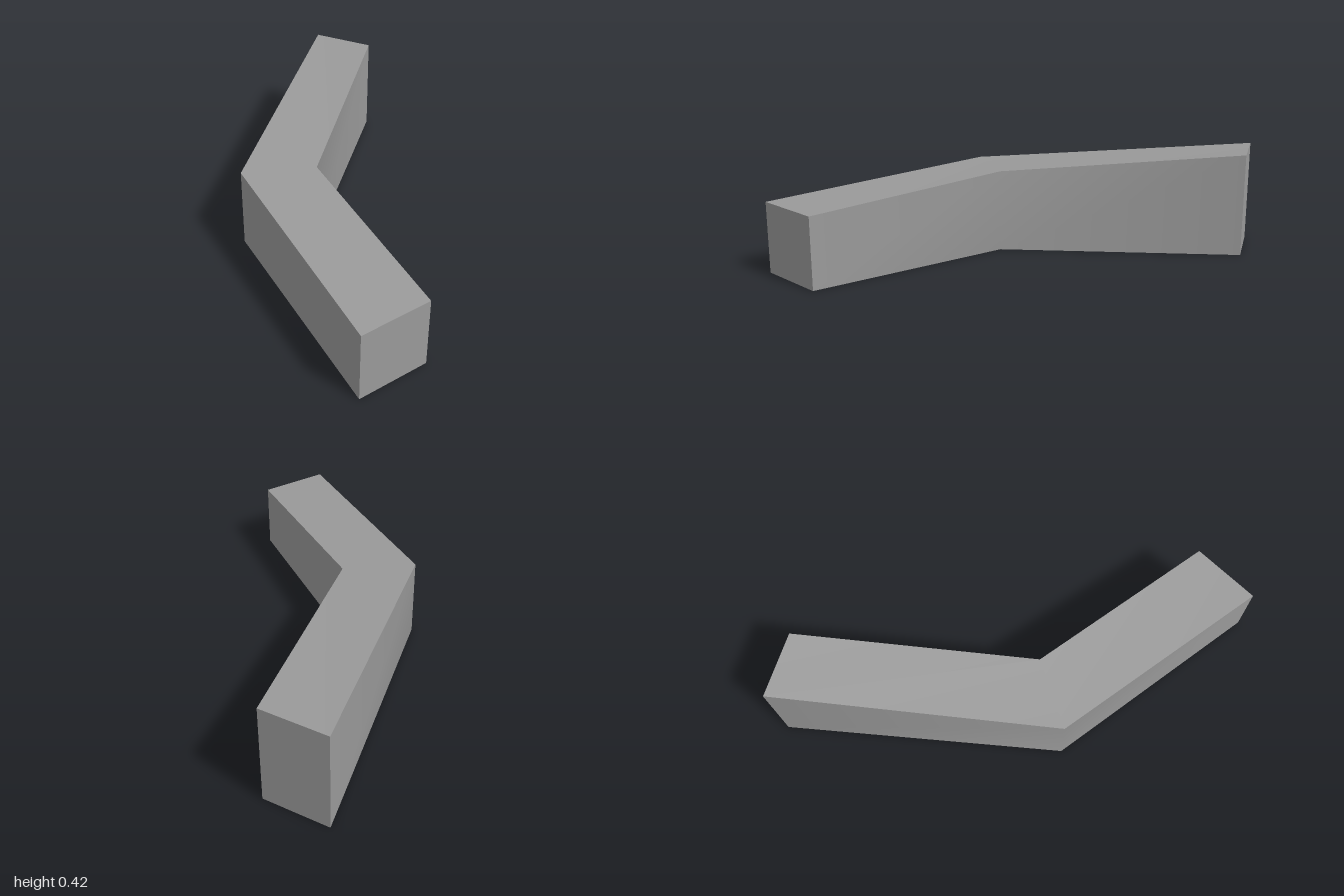
import * as THREE from 'three';
import { toCreasedNormals } from 'three/addons/utils/BufferGeometryUtils.js';

// Cross-sections from front to back: inner and outer plan corners, and height
const sections = [
  { right: [-0.03, 1.0], left: [0.232, 0.866], height: 0.283 },
  { right: [-0.341, 0.066], left: [-0.039, 0.066], height: 0.334 },
  { right: [0.119, -1.0], left: [0.341, -0.845], height: 0.417 },
];

// Closed bar lofted through four-cornered sections
function loftBar(list) {
  const positions = [];
  for (const { right: [rx, rz], left: [lx, lz], height } of list) {
    positions.push(rx, 0, rz, lx, 0, lz, lx, height, lz, rx, height, rz);
  }
  const index = [0, 1, 2, 0, 2, 3]; // front end
  for (let i = 0; i < list.length - 1; i++) {
    for (let j = 0; j < 4; j++) {
      const a = i * 4 + j, b = i * 4 + (j + 1) % 4;
      index.push(a, a + 4, b + 4, a, b + 4, b);
    }
  }
  const n = (list.length - 1) * 4;
  index.push(n, n + 2, n + 1, n, n + 3, n + 2); // back end

  const geometry = new THREE.BufferGeometry();
  geometry.setAttribute('position', new THREE.Float32BufferAttribute(positions, 3));
  geometry.setIndex(index);
  // Smooth over the bend, sharp along the edges
  return toCreasedNormals(geometry, Math.PI / 3);
}

export function createModel() {
  const group = new THREE.Group();
  group.name = 'bentWall';
  const grey = new THREE.MeshStandardMaterial({ color: 0x9a9a9a });
  grey.name = 'grey';
  const bar = new THREE.Mesh(loftBar(sections), grey);
  bar.name = 'bentBar';
  group.add(bar);
  return group;
}
